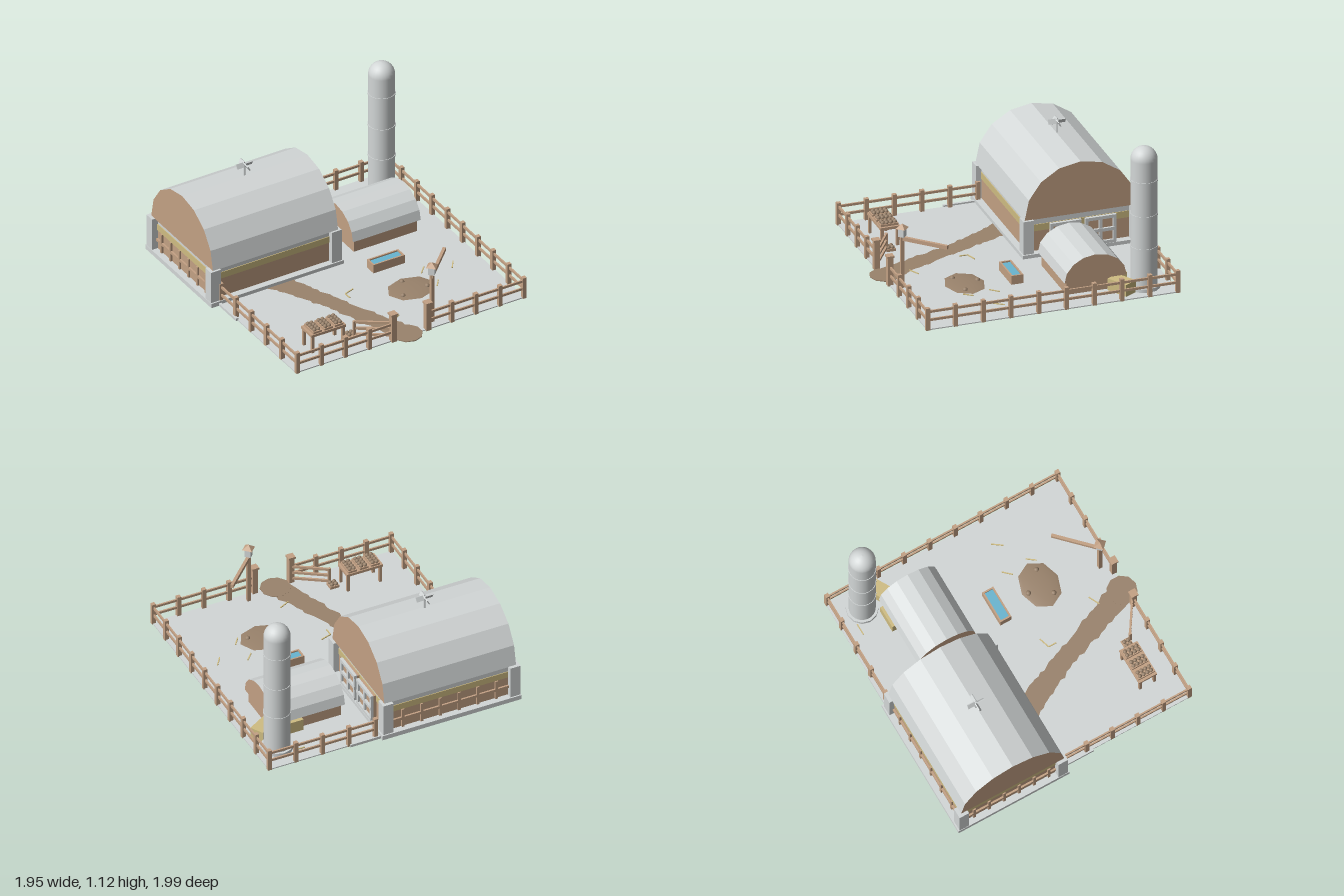
import * as THREE from 'three';

const mat = (name, color, side = THREE.FrontSide) => {
  const m = new THREE.MeshStandardMaterial({ color, side });
  m.name = name;
  return m;
};

export function createModel() {
  const root = new THREE.Group();
  root.name = 'farmyard';
  const grey = mat('paleGrey', 0xd3d7d7);
  const wood = mat('wood', 0xc3a184);
  const dirt = mat('dirt', 0x9a836c, THREE.DoubleSide);
  const straw = mat('straw', 0xcfbd82);
  const water = mat('water', 0x69b5d0);
  const G = 0.043; // ground level

  const add = (name, geo, m, x = 0, y = 0, z = 0, parent = root) => {
    const mesh = new THREE.Mesh(geo, m);
    mesh.name = name;
    mesh.position.set(x, y, z);
    parent.add(mesh);
    return mesh;
  };
  // box given by its extents on each axis
  const span = (name, m, x0, x1, y0, y1, z0, z1, parent = root) =>
    add(name, new THREE.BoxGeometry(x1 - x0, y1 - y0, z1 - z0), m,
      (x0 + x1) / 2, (y0 + y1) / 2, (z0 + z1) / 2, parent);
  // horizontal bar between two ground points
  const bar = (name, m, [x0, z0], [x1, z1], y, h, w, parent = root) => {
    const b = add(name, new THREE.BoxGeometry(Math.hypot(x1 - x0, z1 - z0), h, w), m,
      (x0 + x1) / 2, y, (z0 + z1) / 2, parent);
    b.rotation.y = -Math.atan2(z1 - z0, x1 - x0);
    return b;
  };
  // barrel roof with eight facets and wooden gables
  const barrelRoof = (name, x0, x1, y, z, r, h, parent) => {
    const shape = new THREE.Shape();
    for (let i = 0; i <= 8; i++) {
      const a = (i / 8) * Math.PI;
      shape[i ? 'lineTo' : 'moveTo'](Math.cos(a) * r, Math.sin(a) * h);
    }
    const geo = new THREE.ExtrudeGeometry(shape, { depth: x1 - x0, bevelEnabled: false });
    geo.rotateY(Math.PI / 2);
    add(name, geo, [wood, grey], x0, y, z, parent);
  };

  // ground plate with two small edge aprons
  span('ground', grey, -0.9, 0.965, 0.035, G, -0.96, 0.905);
  span('backApron', grey, 0.1, 0.34, 0.035, G + 0.012, -0.975, -0.955);
  span('sideApron', grey, -0.915, -0.895, 0.035, G + 0.012, -0.11, 0.12);

  // dirt path: ragged ribbon ending in a round patch
  let seed = 7;
  const rnd = () => ((seed = (seed * 16807) % 2147483647) / 2147483647) - 0.5;
  const line = new THREE.CatmullRomCurve3([[-0.41, -0.11], [-0.31, 0.1], [-0.2, 0.35], [-0.09, 0.62], [0.02, 0.88]]
    .map(([x, z]) => new THREE.Vector3(x, 0, z)));
  const left = [], right = [];
  for (let i = 0; i <= 30; i++) {
    const t = i / 30, p = line.getPoint(t), w = 0.072 + 0.028 * Math.abs(2 * t - 1);
    left.push(new THREE.Vector2(p.x - w + rnd() * 0.025, -p.z));
    right.push(new THREE.Vector2(p.x + w + rnd() * 0.025, -p.z));
  }
  const path = new THREE.ShapeGeometry(new THREE.Shape([...left, ...right.reverse()]));
  add('path', path.rotateX(-Math.PI / 2), dirt, 0, G + 0.003, 0);
  add('pathEnd', new THREE.CylinderGeometry(0.11, 0.11, 0.006, 10), dirt, 0.02, G + 0.001, 0.882);

  // main barn
  const barn = new THREE.Group();
  barn.name = 'mainBarn';
  root.add(barn);
  span('barnSlab', grey, -0.975, 0.105, 0.035, 0.07, -1, -0.11, barn);
  span('barnWall', wood, -0.925, 0.05, 0.07, 0.222, -0.95, -0.16, barn);
  span('strawBand', straw, -0.93, 0.055, 0.222, 0.272, -0.955, -0.155, barn);
  span('upperWall', grey, -0.925, 0.05, 0.272, 0.32, -0.95, -0.16, barn);
  barrelRoof('barnRoof', -0.948, 0.072, 0.32, -0.55, 0.415, 0.395, barn);
  for (const x of [-0.932, 0.053])
    for (const z of [-0.952, -0.158])
      span('cornerPillar', grey, x - 0.04, x + 0.04, 0.07, 0.322, z - 0.038, z + 0.038, barn);
  // rails and stiles over the back and left walls
  span('backRail', wood, -0.92, 0.04, 0.135, 0.155, -0.964, -0.95, barn);
  span('leftRail', wood, -0.939, -0.925, 0.135, 0.155, -0.94, -0.17, barn);
  for (let i = 0; i < 6; i++) {
    const x = -0.8 + i * 0.145, z = -0.85 + i * 0.12;
    span('backStile', wood, x - 0.01, x + 0.01, 0.07, 0.222, -0.964, -0.95, barn);
    span('leftStile', wood, -0.939, -0.925, 0.07, 0.222, z - 0.01, z + 0.01, barn);
  }
  // pair of framed doors on the right end
  for (const [z0, z1] of [[-0.805, -0.575], [-0.545, -0.315]]) {
    span('doorPanel', wood, 0.05, 0.085, 0.07, 0.27, z0 + 0.01, z1 - 0.01, barn);
    for (const y of [0.08, 0.175, 0.27])
      span('doorRail', grey, 0.08, 0.102, y - 0.012, y + 0.012, z0, z1, barn);
    for (const z of [z0 + 0.012, (z0 + z1) / 2, z1 - 0.012])
      span('doorStile', grey, 0.08, 0.1, 0.07, 0.28, z - 0.012, z + 0.012, barn);
  }
  // ridge wind spinner
  add('spinnerPost', new THREE.CylinderGeometry(0.007, 0.007, 0.1, 8), grey, -0.437, 0.76, -0.555, barn);
  for (let i = 0; i < 4; i++) {
    const arm = new THREE.Group();
    arm.name = 'spinnerArm';
    arm.position.set(-0.437, 0.8, -0.555);
    arm.rotation.y = (i * Math.PI) / 2;
    const blade = add('spinnerBlade', new THREE.BoxGeometry(0.055, 0.036, 0.008), grey, 0.036, 0, 0, arm);
    blade.rotation.x = 0.5;
    barn.add(arm);
  }

  // small barn
  const shed = new THREE.Group();
  shed.name = 'smallBarn';
  root.add(shed);
  span('shedWall', wood, 0.24, 0.755, G, 0.15, -0.62, -0.2, shed);
  barrelRoof('shedRoof', 0.22, 0.773, 0.14, -0.41, 0.23, 0.19, shed);

  // silo with domed top
  const profile = [[0.095, G], [0.095, 1.025]];
  for (let i = 1; i <= 8; i++) {
    const a = (i / 16) * Math.PI;
    profile.push([0.095 * Math.cos(a), 1.025 + 0.095 * Math.sin(a)]);
  }
  add('silo', new THREE.LatheGeometry(profile.map(([x, y]) => new THREE.Vector2(Math.max(x, 0), y)), 24), grey, 0.803, 0, -0.757);
  add('siloBase', new THREE.CylinderGeometry(0.115, 0.115, 0.03, 12), grey, 0.803, 0.055, -0.757);
  for (const y of [0.36, 0.61, 0.87])
    add('siloBand', new THREE.CylinderGeometry(0.099, 0.099, 0.014, 24), grey, 0.803, y, -0.757);

  // straw bales and loose wisps
  const bale = new THREE.BoxGeometry(0.17, 0.09, 0.105);
  add('baleCorner', bale, straw, 0.825, G + 0.045, -0.585).rotation.y = Math.PI / 6;
  add('baleBack', bale, straw, 0.635, G + 0.045, -0.607);
  [[-0.09, 0.23, -0.01, 0.205], [-0.09, 0.23, -0.09, 0.29], [0.01, 0.695, 0.09, 0.655], [0.5, 0.28, 0.555, 0.22],
    [0.51, 0.475, 0.555, 0.415], [0.72, 0.33, 0.77, 0.26], [0.63, -0.845, 0.72, -0.845]]
    .forEach(([a, b, c, d]) => bar('strawWisp', straw, [a, b], [c, d], G + 0.004, 0.006, 0.008));

  // fence: corner-to-corner runs of posts with two rails
  const fence = (x0, z0, x1, z1, n) => {
    for (let i = 0; i <= n; i++) {
      const x = x0 + ((x1 - x0) * i) / n, z = z0 + ((z1 - z0) * i) / n;
      span('fencePost', wood, x - 0.015, x + 0.015, 0.036, 0.205, z - 0.015, z + 0.015);
    }
    for (const y of [0.112, 0.175]) bar('fenceRail', wood, [x0, z0], [x1, z1], y, 0.018, 0.012);
  };
  fence(-0.887, 0.9, -0.107, 0.9, 4);
  fence(0.175, 0.9, 0.958, 0.9, 4);
  fence(0.958, -0.95, 0.958, 0.9, 9);
  fence(0.135, -0.95, 0.958, -0.95, 4);
  fence(-0.887, -0.13, -0.887, 0.9, 5);
  // gate posts and open gate leaf
  for (const x of [-0.107, 0.175]) {
    span('gatePost', wood, x - 0.02, x + 0.02, 0.036, 0.255, 0.88, 0.92);
    span('gatePostCap', wood, x - 0.027, x + 0.027, 0.252, 0.267, 0.873, 0.927);
  }
  for (const y of [0.08, 0.13, 0.18]) bar('gateRail', wood, [-0.107, 0.89], [-0.33, 0.745], y, 0.018, 0.014);
  span('gateEndPost', wood, -0.34, -0.322, 0.06, 0.19, 0.737, 0.755);

  // lantern post with raised barrier arm
  span('lanternPost', wood, 0.237, 0.263, G, 0.45, 0.822, 0.848);
  add('lantern', new THREE.BoxGeometry(0.045, 0.065, 0.045), grey, 0.25, 0.468, 0.835).rotation.y = Math.PI / 4;
  const cap = new THREE.ConeGeometry(0.05, 0.033, 4).toNonIndexed();
  cap.computeVertexNormals();
  add('lanternRoof', cap, wood, 0.25, 0.515, 0.835);
  bar('barrierArm', wood, [0.24, 0.845], [0.5, 0.588], 0.42, 0.028, 0.022);

  // water trough
  span('troughFloor', wood, 0.215, 0.47, G, 0.06, 0.016, 0.105);
  span('troughFront', wood, 0.215, 0.47, G, 0.11, 0.093, 0.105);
  span('troughBack', wood, 0.215, 0.47, G, 0.11, 0.016, 0.028);
  span('troughLeft', wood, 0.458, 0.47, G, 0.11, 0.028, 0.093);
  span('troughRight', wood, 0.215, 0.227, G, 0.11, 0.028, 0.093);
  span('troughWater', water, 0.227, 0.458, 0.06, 0.1, 0.028, 0.093);

  // produce table and small crate
  span('tableTop', wood, -0.685, -0.405, 0.175, 0.195, 0.615, 0.76);
  for (const x of [-0.67, -0.42])
    for (const z of [0.63, 0.745]) span('tableLeg', wood, x - 0.01, x + 0.01, G, 0.18, z - 0.01, z + 0.01);
  const ball = new THREE.SphereGeometry(0.0155, 8, 6);
  const produce = (x, y, z, rows) => {
    span('produceCrate', wood, x - 0.034, x + 0.034, y - 0.022, y - 0.002, z - rows * 0.0155 - 0.003, z + rows * 0.0155 + 0.003);
    for (let i = 0; i < rows * 2; i++)
      add('produce', ball, dirt, x + (i % 2 ? 0.0155 : -0.0155), y + 0.003, z + (Math.floor(i / 2) - (rows - 1) / 2) * 0.03);
  };
  for (const x of [-0.632, -0.543, -0.455]) produce(x, 0.213, 0.688, 4);
  produce(-0.345, 0.073, 0.715, 2);

  // mud mound with lumps
  add('mudMound', new THREE.SphereGeometry(1, 8, 8).scale(0.22, 0.028, 0.175), dirt, 0.34, 0.028, 0.405);
  for (const [x, z] of [[0.325, 0.305], [0.24, 0.46], [0.45, 0.44]])
    add('mudLump', new THREE.SphereGeometry(0.02, 8, 6), dirt, x, 0.047, z);

  return root;
}
